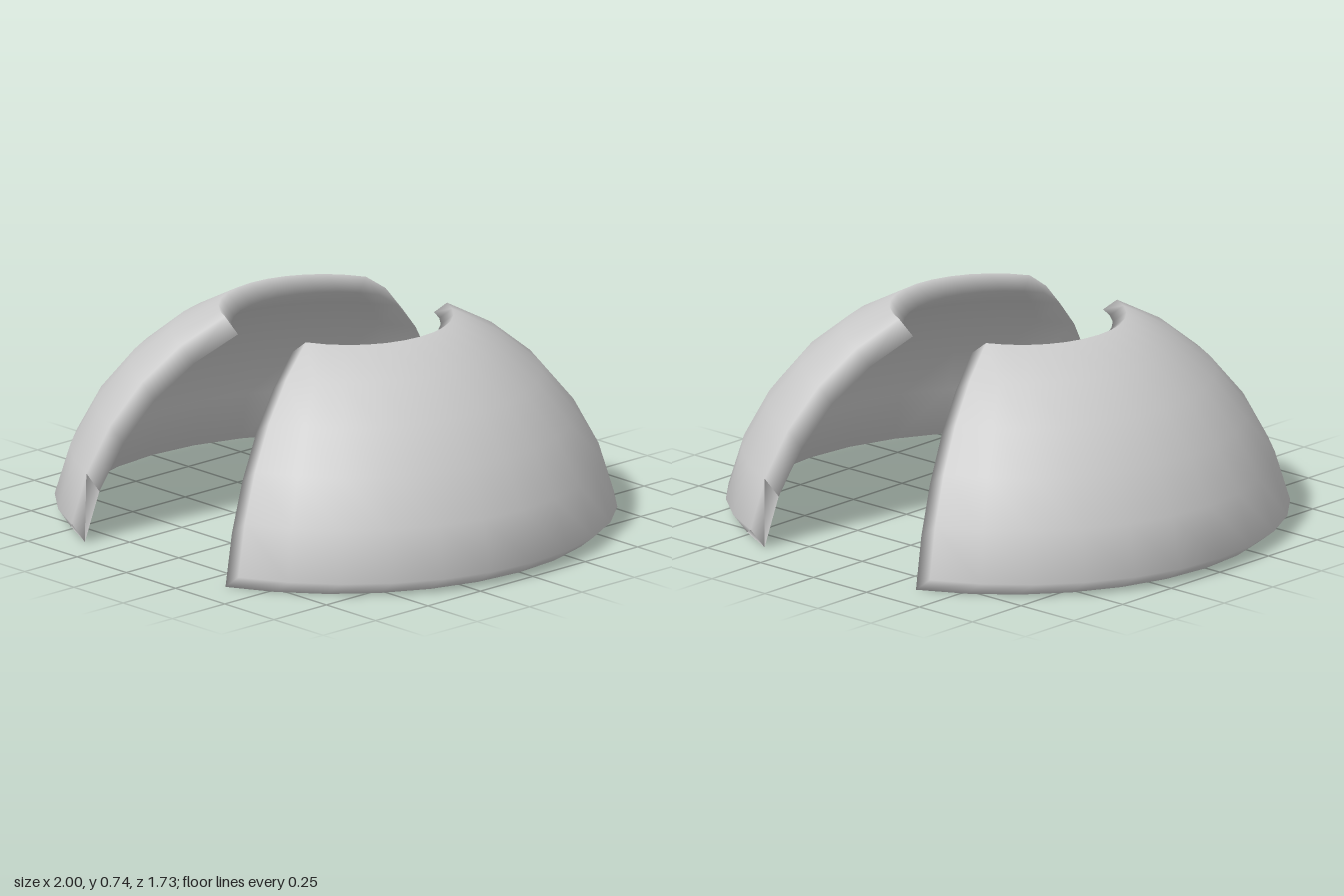
import * as THREE from 'three';

const RADIUS = 0.952;
const STEP = Math.PI / 16;          // 32-sided sphere grid
const COLS = 12, ROWS = 5;          // patch: azimuth +-67.5 deg, elevation 11.25 to 67.5 deg
const BASE_Y = -RADIUS * Math.sin(STEP);
const SHIFT = [0.066, 0.05];        // outer skin is the inner skin moved out and up

// Closed shell segment: inner skin, outer skin and a rim joining them
function shellGeometry() {
  const positions = [], index = [];
  const layerSize = (COLS + 1) * (ROWS + 1);
  const inner = (c, r) => r * (COLS + 1) + c;
  const outer = (c, r) => inner(c, r) + layerSize;
  const quad = (a, b, c, d) => index.push(a, b, c, a, c, d);

  for (const k of [0, 1]) {
    for (let r = 0; r <= ROWS; r++) {
      for (let c = 0; c <= COLS; c++) {
        const phi = (c - COLS / 2) * STEP, elev = (r + 1) * STEP;
        positions.push(
          RADIUS * Math.cos(elev) * Math.cos(phi) + k * SHIFT[0],
          RADIUS * Math.sin(elev) + BASE_Y + k * SHIFT[1],
          RADIUS * Math.cos(elev) * Math.sin(phi));
      }
    }
  }

  // Both skins
  for (let r = 0; r < ROWS; r++) {
    for (let c = 0; c < COLS; c++) {
      quad(outer(c, r), outer(c, r + 1), outer(c + 1, r + 1), outer(c + 1, r));
      quad(inner(c, r), inner(c + 1, r), inner(c + 1, r + 1), inner(c, r + 1));
    }
  }

  // Rim around the patch
  const loop = [];
  for (let r = ROWS; r > 0; r--) loop.push([0, r]);
  for (let c = 0; c < COLS; c++) loop.push([c, 0]);
  for (let r = 0; r < ROWS; r++) loop.push([COLS, r]);
  for (let c = COLS; c > 0; c--) loop.push([c, ROWS]);
  loop.forEach((p, i) => {
    const q = loop[(i + 1) % loop.length];
    quad(outer(...p), outer(...q), inner(...q), inner(...p));
  });

  const geometry = new THREE.BufferGeometry();
  geometry.setAttribute('position', new THREE.Float32BufferAttribute(positions, 3));
  geometry.setIndex(index);
  geometry.computeVertexNormals();
  return geometry;
}

export function createModel() {
  const group = new THREE.Group();
  group.name = 'splitDome';
  const geometry = shellGeometry();
  const material = new THREE.MeshStandardMaterial({ color: 0xcccccc });

  // Two facing shells, the right one turned half way round
  ['leftShell', 'rightShell'].forEach((name, i) => {
    const shell = new THREE.Mesh(geometry, material);
    shell.name = name;
    shell.rotation.y = i * Math.PI;
    group.add(shell);
  });
  return group;
}
